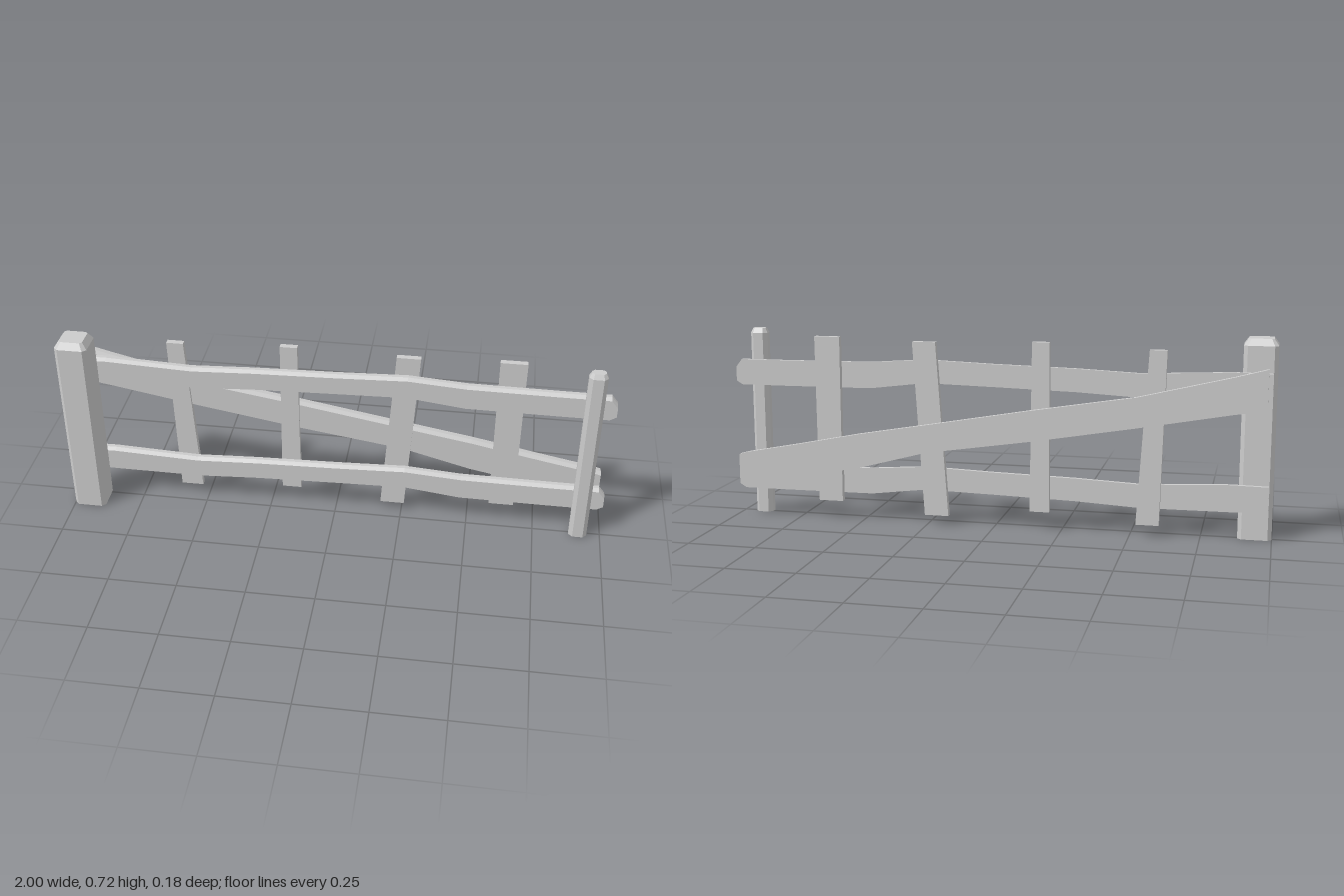
import * as THREE from 'three';

const material = new THREE.MeshStandardMaterial({ color: 0xcccccc, flatShading: true });

// Closed, faceted solid through rings that run counter-clockwise around the direction of travel
function loft(name, rings) {
  const pos = [];
  const tri = (a, b, c) => pos.push(...a, ...b, ...c);
  const n = rings[0].length;
  for (let i = 0; i < rings.length - 1; i++) {
    for (let j = 0; j < n; j++) {
      const k = (j + 1) % n;
      tri(rings[i][j], rings[i][k], rings[i + 1][k]);
      tri(rings[i][j], rings[i + 1][k], rings[i + 1][j]);
    }
  }
  const first = rings[0], last = rings[rings.length - 1];
  for (let j = 1; j < n - 1; j++) {
    tri(first[0], first[j + 1], first[j]);
    tri(last[0], last[j], last[j + 1]);
  }
  const geo = new THREE.BufferGeometry();
  geo.setAttribute('position', new THREE.Float32BufferAttribute(pos, 3));
  geo.computeVertexNormals();
  const mesh = new THREE.Mesh(geo, material);
  mesh.name = name;
  return mesh;
}

// Long plank along x; stations are [x, bottom, top], front edges bevelled
function plank(name, stations, zBack, zFront, bevel, lift = 0) {
  const zMid = zBack + (zFront - zBack) * 0.5;
  return loft(name, stations.map(([x, b, t]) => [
    [x, b + lift, zBack], [x, t + lift, zBack], [x, t + lift, zMid],
    [x, t + lift - bevel, zFront], [x, b + lift + bevel, zFront], [x, b + lift, zMid],
  ]));
}

// Upright post with chamfered corners and a chamfered top
function post(name, x0, x1, z0, z1, cut, shoulder, top, inset) {
  const ring = (y, d, c) => {
    const [a, b, e, f] = [x0 + d, x1 - d, z0 + d, z1 - d];
    return [
      [a, y, e + c], [a, y, f - c], [a + c, y, f], [b - c, y, f],
      [b, y, f - c], [b, y, e + c], [b - c, y, e], [a + c, y, e],
    ];
  };
  return loft(name, [ring(0, 0, cut), ring(shoulder, 0, cut), ring(top, inset, cut * 0.6)]);
}

export function createModel() {
  const group = new THREE.Group();

  // Posts
  group.add(post('hingePost', -1, -0.88, -0.024, 0.092, 0.014, 0.692, 0.716, 0.017));
  group.add(post('latchPost', 0.885, 0.951, -0.021, 0.027, 0.014, 0.692, 0.71, 0.009));

  // Two matching wavy rails
  const rail = [
    [-0.985, 0.105, 0.198], [-0.85, 0.102, 0.2], [-0.53, 0.1, 0.186], [-0.3, 0.112, 0.196],
    [0, 0.12, 0.203], [0.26, 0.126, 0.212], [0.47, 0.1, 0.197], [0.8, 0.098, 0.194],
    [0.977, 0.098, 0.194], [1, 0.112, 0.165],
  ];
  group.add(plank('lowerRail', rail, -0.043, -0.012, 0.008));
  group.add(plank('upperRail', rail, -0.043, -0.012, 0.008, 0.4));

  // Diagonal brace behind the slats
  group.add(plank('brace', [
    [-0.97, 0.478, 0.62], [-0.85, 0.458, 0.588], [-0.52, 0.398, 0.508], [-0.15, 0.335, 0.448],
    [0.25, 0.275, 0.378], [0.5, 0.208, 0.335], [0.75, 0.16, 0.285], [0.95, 0.115, 0.247],
    [0.98, 0.125, 0.238],
  ], -0.091, -0.054, 0.006));

  // Crooked slats: bottom x range and y, then top x range and y
  [
    [-0.605, -0.522, 0.043, -0.622, -0.56, 0.673],
    [-0.208, -0.136, 0.07, -0.205, -0.142, 0.69],
    [0.17, 0.26, 0.035, 0.215, 0.302, 0.68],
    [0.58, 0.672, 0.07, 0.58, 0.677, 0.69],
  ].forEach(([b0, b1, yb, t0, t1, yt], i) => {
    const ring = (x0, x1, y) => [[x0, y, -0.065], [x0, y, -0.043], [x1, y, -0.043], [x1, y, -0.065]];
    group.add(loft('slat' + (i + 1), [ring(b0, b1, yb), ring(t0, t1, yt)]));
  });

  return group;
}
